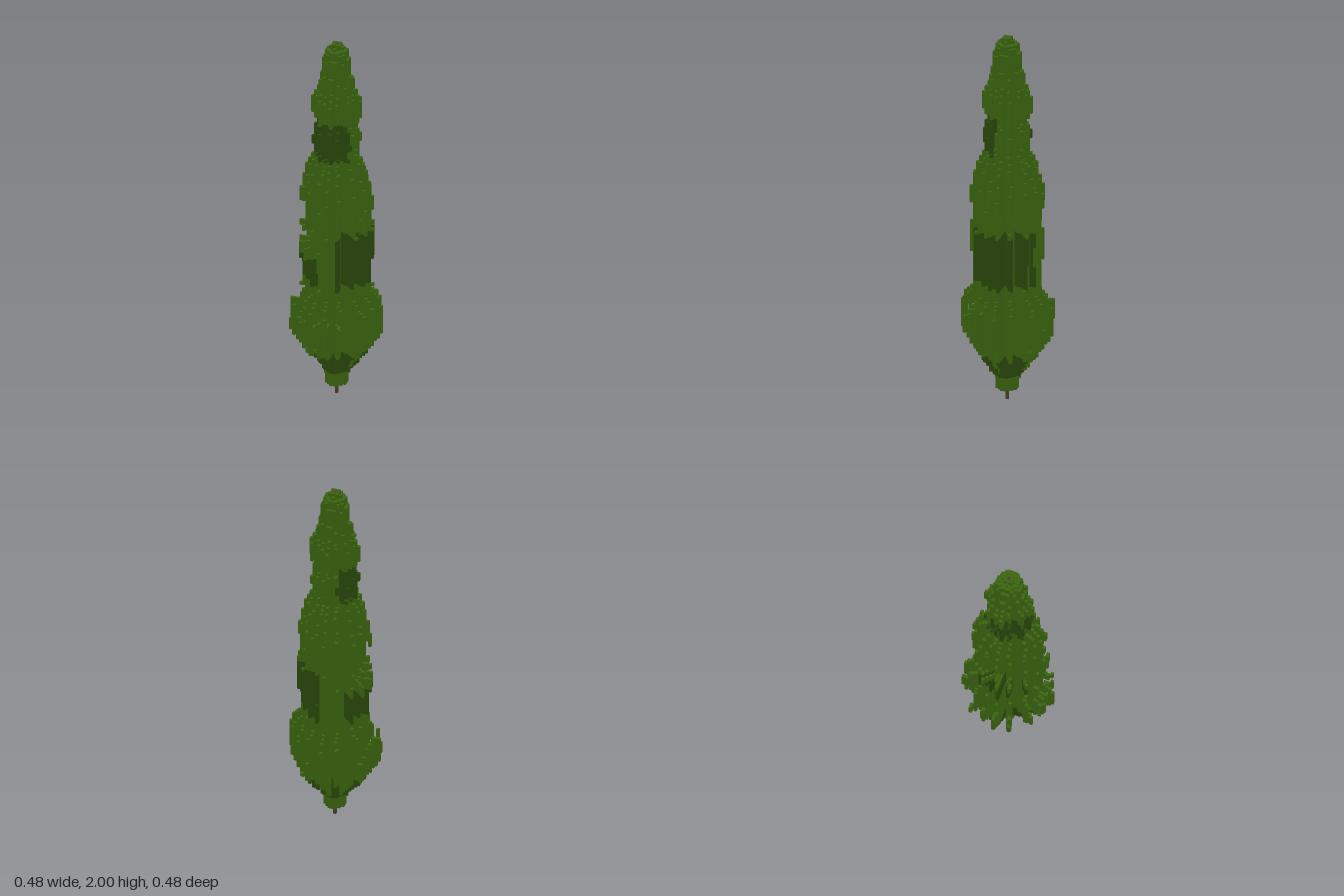
import * as THREE from 'three';
import { mergeGeometries } from 'three/addons/utils/BufferGeometryUtils.js';

const S = 2 / 128; // block size

// half-width of the crown by height
const PROFILE = [
  [0.06, 0.055], [0.12, 0.055], [0.15, 0.075], [0.2, 0.115], [0.25, 0.155], [0.3, 0.19],
  [0.35, 0.22], [0.39, 0.243], [0.52, 0.243], [0.57, 0.22], [0.62, 0.18], [0.75, 0.175],
  [0.8, 0.19], [0.95, 0.19], [1.0, 0.185], [1.15, 0.19], [1.2, 0.18], [1.25, 0.165],
  [1.31, 0.155], [1.36, 0.12], [1.4, 0.11], [1.45, 0.125], [1.55, 0.105], [1.6, 0.125],
  [1.68, 0.125], [1.75, 0.095], [1.85, 0.075], [1.92, 0.065], [1.97, 0.052], [1.98, 0.025], [2, 0.025],
];

// plan paths of the thin leaf fins, in blocks (x, z)
const FINS = [
  [[0, 0], [15, 0]], [[0, 0], [-15, 0]], [[0, 0], [0, 15]], [[0, 0], [0, -15]],
  [[3, -1], [6, -2], [9, -4], [14, -5]], [[2, -3], [5, -7], [8, -9], [9, -12]], [[1, -4], [2, -8], [4, -11], [5, -14]],
  [[3, 1], [8, 2], [11, 4], [14, 5]], [[2, 2], [6, 5], [9, 8], [12, 9]], [[1, 3], [2, 6], [3, 9], [5, 14]],
  [[-3, 1], [-8, 3], [-12, 4], [-14, 5]], [[-2, 2], [-5, 7], [-8, 9], [-9, 12]], [[-1, 3], [-2, 8], [-4, 12], [-5, 14]],
  [[-3, -1], [-8, -2], [-11, -5], [-14, -4]], [[-3, -3], [-6, -5], [-9, -8], [-12, -9]], [[-1, -3], [-3, -7], [-4, -11], [-5, -14]],
];

// gaps in the leaves: x range, z range, height range, in blocks
const GAPS = [
  [-15, 15, 10, 13, 30, 33], [-12, -11, -15, 15, 28, 37], [-15, -13, -15, 15, 33, 40],
  [-15, -8, -15, 15, 56, 59], [-11, -10, -15, 15, 62, 70], [9, 9, -15, 15, 66, 70],
];

function radiusAt(y) {
  if (y < PROFILE[0][0]) return 0;
  const i = Math.max(1, PROFILE.findIndex((p) => p[0] >= y));
  const [y0, r0] = PROFILE[i - 1], [y1, r1] = PROFILE[i];
  return r0 + (r1 - r0) * (y - y0) / (y1 - y0);
}

function hash(a, b) {
  const v = Math.sin(a * 127.1 + b * 311.7 + 5) * 43758.5453;
  return v - Math.floor(v);
}

// 0 = empty, 1 = leaf, 2 = dark leaf
function cell(x, j, z, fin) {
  let r = radiusAt((j + 0.5) * S) / S;
  if (fin > 3 && j < 110) r -= Math.floor(hash(fin, Math.floor(j / 7)) * 2.2);
  if (Math.hypot(x, z) > r) return 0;
  if (GAPS.some((g) => x >= g[0] && x <= g[1] && z >= g[2] && z <= g[3] && j >= g[4] && j <= g[5])) return 0;
  const waist = j >= 42 && ((x > 2 && j <= 60) || (x < -4 && j <= 51));
  const neck = j >= 87 && j <= 99 && (z > 2 || x < -2);
  const base = j >= 9 && j <= 16 && hash(fin, 3) > 0.5;
  return waist || neck || base ? 2 : 1;
}

// one box for each unbroken run of a colour up a column
function addColumn(x, z, fin, out) {
  let start = 0, kind = 0;
  for (let j = 0; j <= 128; j++) {
    const k = j < 128 ? cell(x, j, z, fin) : 0;
    if (k === kind) continue;
    if (kind) {
      const box = new THREE.BoxGeometry(S, (j - start) * S, S);
      out[kind].push(box.translate(x * S, (j + start) / 2 * S, z * S));
    }
    start = j;
    kind = k;
  }
}

export function createModel() {
  const tree = new THREE.Group();
  tree.name = 'cypressTree';
  const leaf = new THREE.MeshStandardMaterial({ color: 0x3c6710 });
  const darkLeaf = new THREE.MeshStandardMaterial({ color: 0x2b4a0c });
  const bark = new THREE.MeshStandardMaterial({ color: 0x4d3f2a });
  leaf.name = 'leafGreen';
  darkLeaf.name = 'darkLeafGreen';
  bark.name = 'barkBrown';

  const used = new Set(['0,0']);
  const add = (x, z, fin, out) => {
    const key = `${x},${z}`;
    if (used.has(key)) return;
    used.add(key);
    addColumn(x, z, fin, out);
  };
  const addMeshes = (name, out) => [leaf, darkLeaf].forEach((material, i) => {
    if (!out[i + 1].length) return;
    const mesh = new THREE.Mesh(mergeGeometries(out[i + 1]), material);
    mesh.name = i ? `${name}Dark` : name;
    tree.add(mesh);
  });

  // trunk, running up to the tip
  const trunk = new THREE.Mesh(new THREE.BoxGeometry(S, 2, S).translate(0, 1, 0), bark);
  trunk.name = 'trunk';
  tree.add(trunk);

  // dense core around the trunk
  const core = [[], [], []];
  for (let x = -5; x <= 5; x++) {
    for (let z = -5; z <= 5; z++) if (Math.abs(x) + Math.abs(z) <= 5) add(x, z, 0, core);
  }
  addMeshes('leafCore', core);

  // radiating leaf fins
  FINS.forEach((path, fin) => {
    const out = [[], [], []];
    for (let i = 1; i < path.length; i++) {
      const [x0, z0] = path[i - 1], [x1, z1] = path[i];
      const n = Math.max(Math.abs(x1 - x0), Math.abs(z1 - z0));
      for (let k = 0; k <= n; k++) {
        add(Math.round(x0 + (x1 - x0) * k / n), Math.round(z0 + (z1 - z0) * k / n), fin, out);
      }
    }
    addMeshes(`leafFin${fin + 1}`, out);
  });
  return tree;
}
